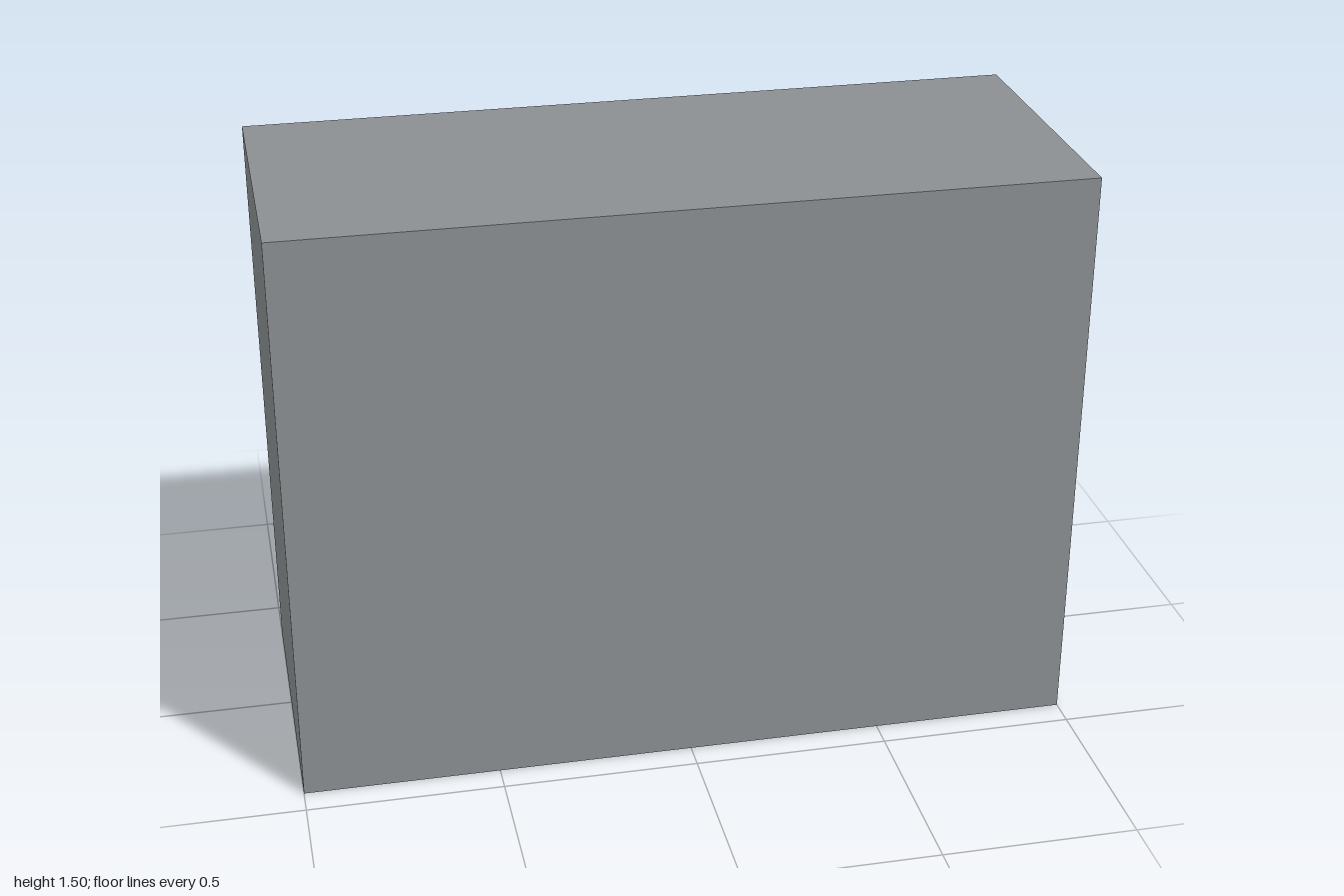
import * as THREE from 'three';

const steel = new THREE.MeshStandardMaterial({ name: 'grey steel', color: 0x8a8f91 });
const dark = new THREE.MeshStandardMaterial({ name: 'dark slot', color: 0x252525 });

// Flat bar with round ends, lying along x
function slotShape(halfLength, radius) {
  const s = new THREE.Shape();
  const c = halfLength - radius;
  s.moveTo(-c, -radius);
  s.lineTo(c, -radius);
  s.absarc(c, 0, radius, -Math.PI / 2, Math.PI / 2, false);
  s.lineTo(-c, radius);
  s.absarc(-c, 0, radius, Math.PI / 2, Math.PI * 1.5, false);
  return s;
}

export function createModel() {
  const model = new THREE.Group();
  model.name = 'ventilationBox';

  const add = (name, geometry, material, x, y, z) => {
    const mesh = new THREE.Mesh(geometry, material);
    mesh.name = name;
    mesh.position.set(x, y, z);
    model.add(mesh);
  };

  // Housing and raised back panel
  add('housing', new THREE.BoxGeometry(2, 1.5, 0.785), steel, 0, 0.75, 0.035);
  add('backPanel', new THREE.BoxGeometry(1.78, 1.28, 0.045), steel, 0, 0.75, -0.3775);

  // Seven dark vent slots
  const slot = new THREE.ExtrudeGeometry(slotShape(0.79, 0.036),
    { depth: 0.005, bevelEnabled: false, curveSegments: 8 });
  for (let i = -3; i <= 3; i++) add('ventSlot', slot, dark, 0, 0.75 + i * 0.163, -0.403);

  // Hexagonal bolt heads in the panel corners
  const bolt = new THREE.CylinderGeometry(0.0275, 0.0275, 0.03, 6, 1).toNonIndexed();
  bolt.rotateX(Math.PI / 2).rotateZ(Math.PI / 6);
  bolt.computeVertexNormals();
  for (const x of [-0.82, 0.82])
    for (const y of [0.18, 1.32]) add('bolt', bolt, steel, x, y, -0.414);

  return model;
}
